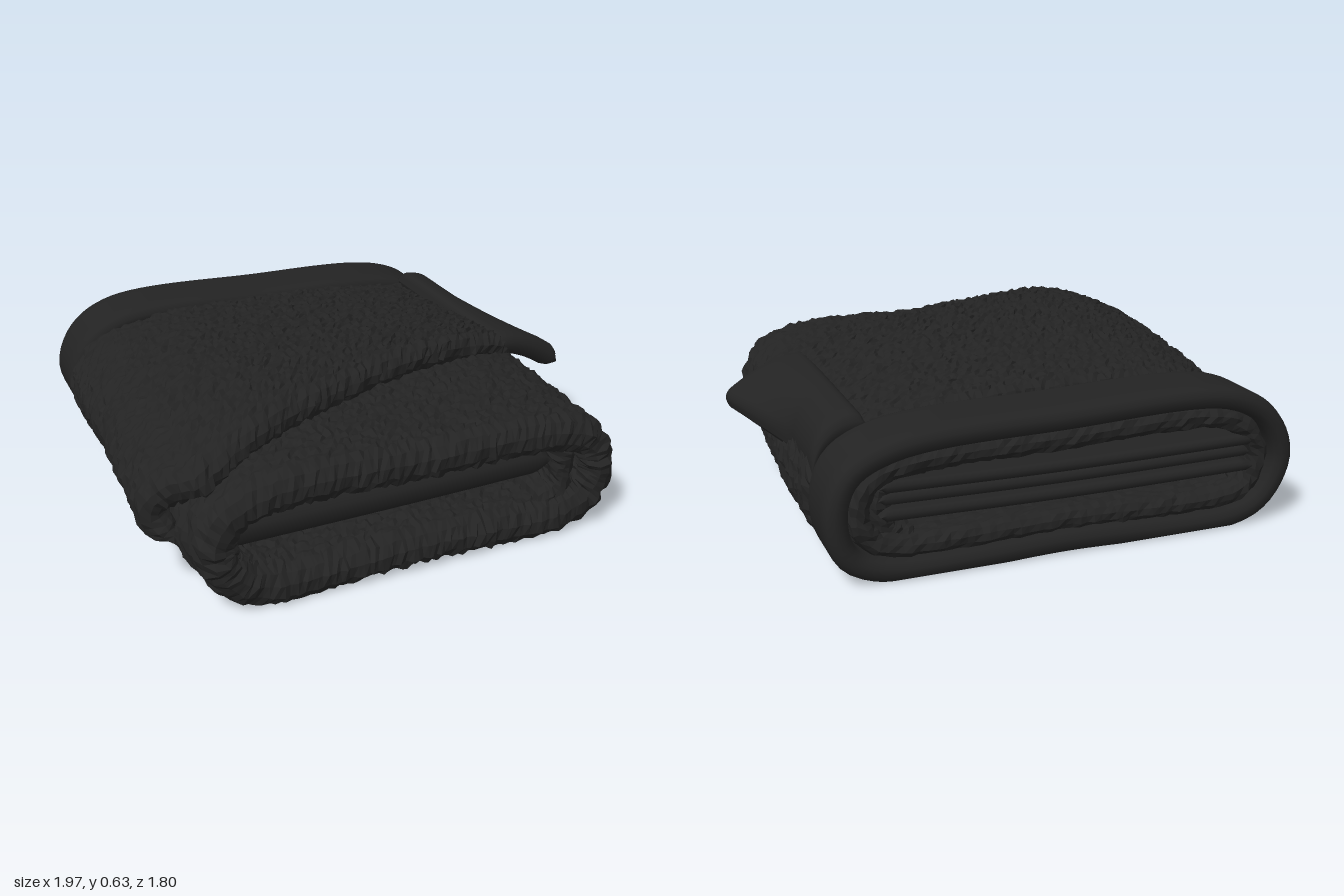
import * as THREE from 'three';

const fleece = new THREE.MeshStandardMaterial({ color: 0x232323 });
fleece.name = 'fleece';
const satin = new THREE.MeshStandardMaterial({ color: 0x232323 });
satin.name = 'satinHem';

let seed = 7;
const rnd = () => {
  seed = (seed * 16807) % 2147483647;
  return seed / 2147483647;
};

// A thick strip of cloth: follows a path in x/y (counter-clockwise, outer face on its right)
// and spans a depth range in z, with rounded edges. "fuzz" roughens it into pile.
function cloth(name, o) {
  const { points, h, z, closed = false, fuzz = 0, warp, nu = 90, nz = 6, material = satin } = o;
  const curve = new THREE.CatmullRomCurve3(points.map(([x, y]) => new THREE.Vector3(x, y, 0)), closed);
  curve.arcLengthDivisions = 400;
  const length = curve.getLength();

  // Edge profile as [side, position along depth, rounding]
  const profile = [];
  const arc = 5;
  for (let i = 0; i <= nz; i++) profile.push([1, i / nz, 0]);
  for (let i = 1; i < arc; i++) profile.push([Math.cos(Math.PI * i / arc), 1, Math.sin(Math.PI * i / arc)]);
  for (let i = nz; i >= 0; i--) profile.push([-1, i / nz, 0]);
  for (let i = arc - 1; i > 0; i--) profile.push([Math.cos(Math.PI * i / arc), 0, -Math.sin(Math.PI * i / arc)]);

  const nv = profile.length;
  const rows = closed ? nu : nu + 1;
  const pos = [];
  const index = [];
  for (let i = 0; i < rows; i++) {
    const u = i / nu;
    const c = curve.getPointAt(u);
    const t = curve.getTangentAt(u);
    const end = closed ? 1 : Math.min(1, Math.min(u, 1 - u) * length / h);
    const half = h * Math.sqrt(Math.max(0, 1 - (1 - end) ** 2));
    const [z0, z1] = z(c.x);
    for (const [s, f, r] of profile) {
      const p = new THREE.Vector3(
        c.x + t.y * half * s, c.y - t.x * half * s,
        z0 + h + (z1 - z0 - 2 * h) * f + r * h);
      if (warp) warp(p);
      pos.push(p.x, p.y, p.z);
    }
  }
  for (let i = 0; i < nu; i++) {
    for (let j = 0; j < nv; j++) {
      const i2 = (i + 1) % rows, j2 = (j + 1) % nv;
      const a = i * nv + j, b = i2 * nv + j, c = i2 * nv + j2, d = i * nv + j2;
      index.push(a, b, c, a, c, d);
    }
  }
  let geo = new THREE.BufferGeometry();
  geo.setAttribute('position', new THREE.Float32BufferAttribute(pos, 3));
  geo.setIndex(index);
  geo.computeVertexNormals();
  const P = geo.attributes.position, N = geo.attributes.normal;
  for (let k = 0; k < P.count; k++) {
    const d = fuzz * (rnd() * 1.6 - 0.8);
    P.setXYZ(k,
      P.getX(k) + N.getX(k) * d + fuzz * (rnd() - 0.5),
      Math.max(0.01, P.getY(k) + N.getY(k) * d),
      P.getZ(k) + N.getZ(k) * d + fuzz * (rnd() - 0.5));
  }
  if (fuzz) geo = geo.toNonIndexed();
  geo.computeVertexNormals();
  const mesh = new THREE.Mesh(geo, material);
  mesh.name = name;
  return mesh;
}

const clamp = THREE.MathUtils.clamp;
const span = (a, b) => () => [a, b];

export function createModel() {
  const g = new THREE.Group();
  g.name = 'foldedBlanket';

  // Main folded loop, narrowing a little toward the front
  const narrow = (p) => { p.x *= 1 - 0.08 * clamp((p.z + 0.3) / 1.2, 0, 1); };
  g.add(cloth('mainFold', {
    points: [[-0.68, 0.08], [0, 0.085], [0.64, 0.08], [0.75, 0.14], [0.79, 0.25], [0.74, 0.36],
      [0.6, 0.415], [0, 0.43], [-0.65, 0.425], [-0.8, 0.36], [-0.85, 0.26], [-0.79, 0.14]],
    h: 0.072, z: span(-0.68, 0.895), closed: true, fuzz: 0.01, warp: narrow,
    nu: 190, nz: 68, material: fleece,
  }));

  // Smooth border wrapped round the back end of the loop
  g.add(cloth('backHem', {
    points: [[-0.7, 0.05], [0, 0.05], [0.67, 0.05], [0.775, 0.11], [0.81, 0.25], [0.765, 0.385],
      [0.61, 0.465], [0, 0.5], [-0.66, 0.495], [-0.815, 0.405], [-0.875, 0.26], [-0.815, 0.115]],
    h: 0.042, z: span(-0.9, -0.62), closed: true, nu: 120,
  }));

  // Fleece lining inside the border
  g.add(cloth('backLining', {
    points: [[-0.68, 0.12], [0, 0.12], [0.62, 0.12], [0.7, 0.16], [0.73, 0.25], [0.69, 0.35],
      [0.58, 0.395], [0, 0.42], [-0.63, 0.42], [-0.75, 0.36], [-0.79, 0.26], [-0.75, 0.16]],
    h: 0.04, z: span(-0.875, -0.6), closed: true, fuzz: 0.007, nu: 120, nz: 12, material: fleece,
  }));

  // Top layer with a diagonal front edge, draped over the left side
  g.add(cloth('topFlap', {
    points: [[0.72, 0.46], [0.6, 0.505], [0.4, 0.545], [0.1, 0.57], [-0.2, 0.575], [-0.55, 0.565],
      [-0.75, 0.51], [-0.88, 0.43], [-0.925, 0.35], [-0.87, 0.27]],
    h: 0.055,
    z: (x) => [-0.63, x > -0.78
      ? 0.8 - 0.38 * (x + 0.8) - 0.08 * (x + 0.8) * (0.75 - x)
      : 0.79 + (x + 0.78) * 0.8],
    warp: (p) => {
      p.y -= p.z < 0.3 ? 0.085 * ((0.3 - p.z) / 0.9) ** 1.3 : 0.15 * (p.z - 0.3) ** 2;
      p.x += 0.055 * (0.5 - p.z) * clamp((-p.x - 0.4) / 0.4, 0, 1);
    },
    fuzz: 0.01, nu: 100, nz: 60, material: fleece,
  }));

  // Border of the top layer, hugging the right side at the back and flaring out in front
  g.add(cloth('sideHem', {
    points: [[0.975, 0.355], [0.92, 0.395], [0.83, 0.445], [0.73, 0.48], [0.64, 0.49]],
    h: 0.048,
    z: (x) => [-0.65, 0.22 - Math.max(0, x - 0.7) * 0.12],
    warp: (p) => {
      const back = clamp((0.12 - p.z) / 0.44, 0, 1);
      const out = clamp((p.x - 0.64) / 0.33, 0, 1.1) ** 2;
      p.x -= 0.14 * back * out;
      p.y -= 0.03 * back * out;
    },
    nu: 50, nz: 24,
  }));

  // Inner turns of the blanket at both sides of the opening
  const curls = [
    [[0.52, 0.12], [0.62, 0.15], [0.65, 0.25], [0.62, 0.36], [0.48, 0.39]],
    [[-0.68, 0.4], [-0.76, 0.35], [-0.79, 0.26], [-0.77, 0.17], [-0.7, 0.12]],
  ];
  curls.forEach((points, i) => g.add(cloth(i ? 'leftInnerTurn' : 'rightInnerTurn', {
    points, h: 0.045, z: span(-0.84, 0.84), fuzz: 0.008, warp: narrow,
    nu: 24, nz: 50, material: fleece,
  })));

  // Smooth tucked layer inside, splitting into thin sheets at the back
  g.add(cloth('tuckedLayer', {
    points: [[0.6, 0.285], [0, 0.277], [-0.79, 0.273]], h: 0.073, z: span(-0.62, 0.8), warp: narrow, nu: 60,
  }));
  [0.225, 0.275, 0.325].forEach((y, i) => g.add(cloth('tuckedSheet' + (i + 1), {
    points: [[0.66, y + 0.01], [0, y], [-0.76, y + 0.005]], h: 0.022,
    z: span(-0.87 + 0.02 * (i % 2), -0.5), nu: 60,
  })));

  return g;
}
